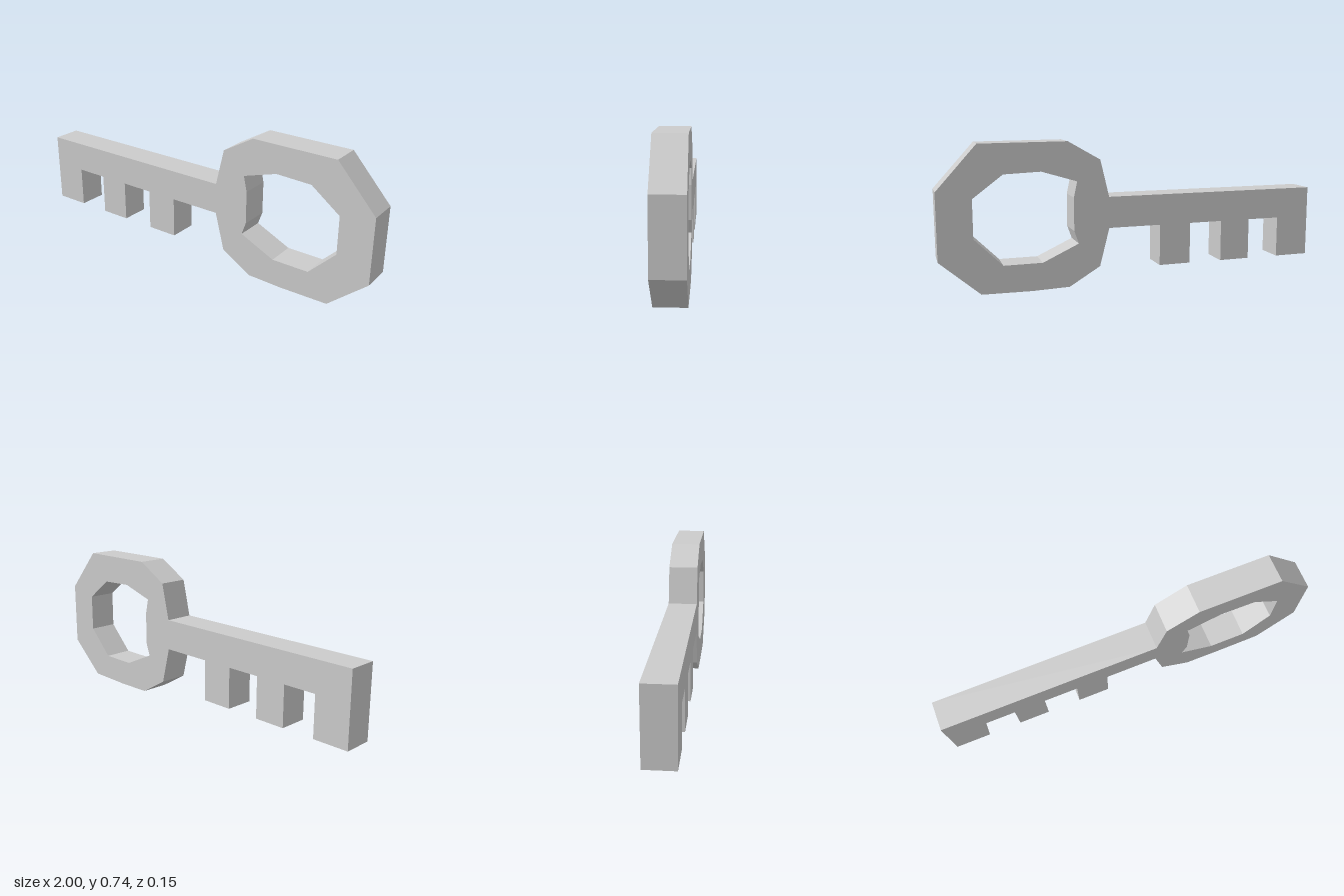
import * as THREE from 'three';

const DEPTH = 0.152;
const toPoints = (list) => list.map(([x, y]) => new THREE.Vector2(x, y));

export function createModel() {
  const group = new THREE.Group();
  group.name = 'key';

  // Blade: three square teeth cut below a straight shaft
  const shaftTop = 0.455, shaftBottom = 0.295, toothBottom = 0.08;
  const blade = [[0.15, shaftTop], [-1, shaftTop]];
  for (const [left, right] of [[-1, -0.815], [-0.64, -0.475], [-0.295, -0.125]]) {
    if (left > -1) blade.push([left, shaftBottom]);
    blade.push([left, toothBottom], [right, toothBottom], [right, shaftBottom]);
  }
  blade.push([0.15, shaftBottom]);

  // Bow: faceted ring, joined to the blade as one continuous outline
  const bow = [
    [0.2, 0.1], [0.36, 0.005], [0.55, 0], [0.8, 0.004], [1, 0.178],
    [1, 0.515], [0.8, 0.738], [0.36, 0.74], [0.195, 0.645],
  ];
  const shape = new THREE.Shape(toPoints([...blade, ...bow]));

  // Finger hole through the bow
  shape.holes.push(new THREE.Path(toPoints([
    [0.315, 0.54], [0.495, 0.595], [0.68, 0.588], [0.83, 0.475], [0.83, 0.28],
    [0.69, 0.14], [0.495, 0.14], [0.31, 0.225], [0.333, 0.29], [0.333, 0.46],
  ])));

  const geometry = new THREE.ExtrudeGeometry(shape, { depth: DEPTH, bevelEnabled: false });
  geometry.translate(0, 0, -DEPTH / 2);

  const material = new THREE.MeshStandardMaterial({ color: 0xcccccc, flatShading: true });
  const mesh = new THREE.Mesh(geometry, material);
  mesh.name = 'keyBowAndBlade';
  group.add(mesh);
  return group;
}
